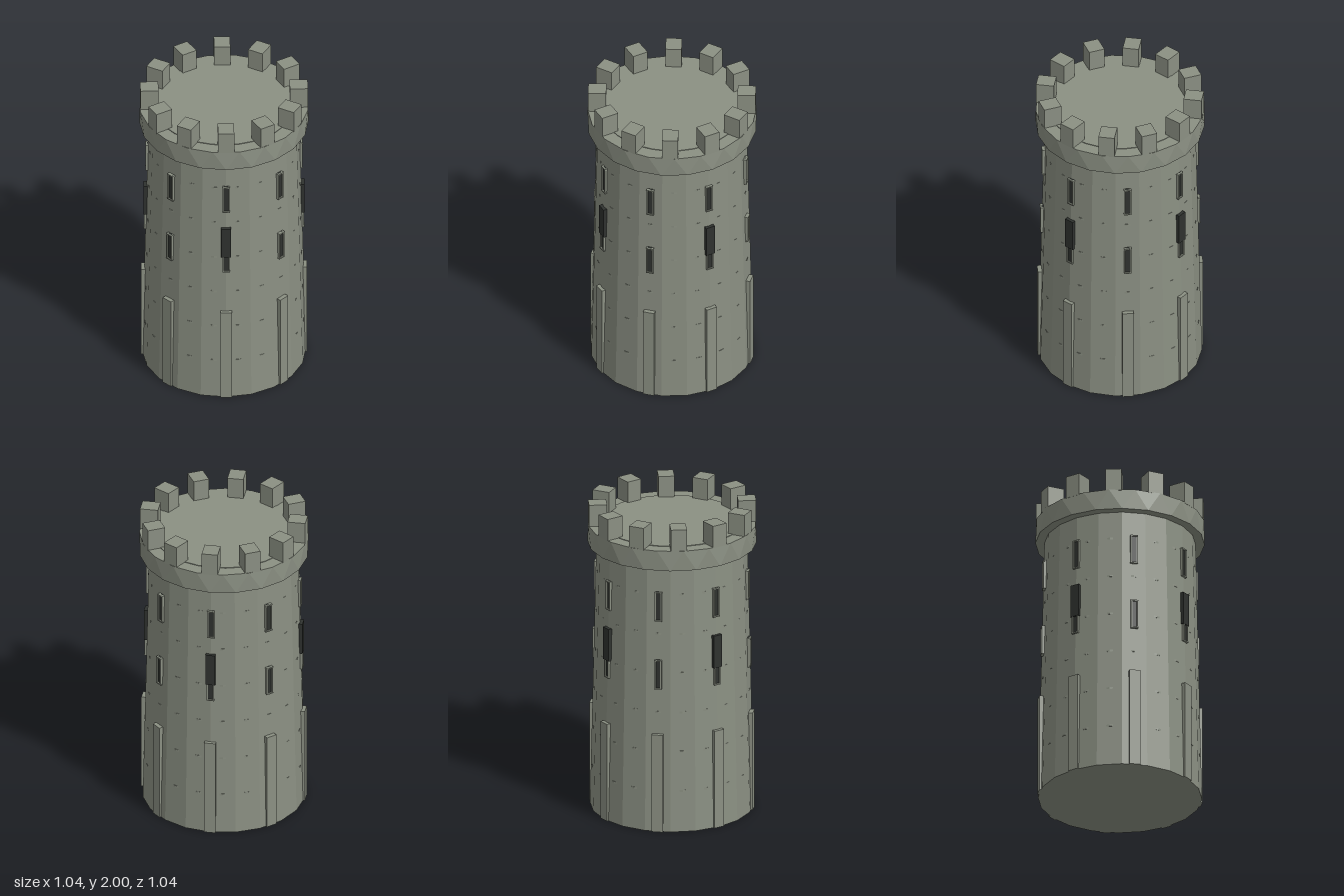
import * as THREE from 'three';

const stone = new THREE.MeshStandardMaterial({ color: 0x8b9083 });
stone.name = 'weathered stone';
const dark = new THREE.MeshStandardMaterial({ color: 0x2f322f });
dark.name = 'dark opening';

const SIDES = 20;
const HALF_STEP = Math.PI / SIDES;
const wallRadius = (y) => 0.506 - 0.023 * y; // the wall tapers upward

// Hard facets on every part
function faceted(geometry) {
  const g = geometry.index ? geometry.toNonIndexed() : geometry;
  g.computeVertexNormals();
  return g;
}

function add(parent, name, geometry, material = stone) {
  const mesh = new THREE.Mesh(faceted(geometry), material);
  mesh.name = name;
  parent.add(mesh);
  return mesh;
}

// Box on the +z side of its group: centre x, height range, radial range
function radialBox(parent, name, x, width, y0, y1, r0, r1, material) {
  const box = add(parent, name, new THREE.BoxGeometry(width, y1 - y0, r1 - r0), material);
  box.position.set(x, (y0 + y1) / 2, (r0 + r1) / 2);
}

// Calls build with a group turned to each of count even directions
function around(parent, name, count, build) {
  for (let i = 0; i < count; i++) {
    const group = new THREE.Group();
    group.name = name;
    group.rotation.y = (i / count) * Math.PI * 2;
    build(group);
    parent.add(group);
  }
}

// Narrow loophole with jambs, lintel and sill
function arrowSlit(group, y0) {
  const y1 = y0 + 0.19;
  const r = wallRadius(y0 + 0.095);
  radialBox(group, 'slitOpening', 0, 0.03, y0, y1, r - 0.02, r + 0.004, dark);
  for (const side of [-1, 1]) {
    radialBox(group, 'slitJamb', side * 0.018, 0.008, y0, y1, r - 0.03, r + 0.012);
  }
  radialBox(group, 'slitLintel', 0, 0.046, y1 - 0.008, y1, r - 0.03, r + 0.013);
  radialBox(group, 'slitSill', 0, 0.046, y0, y0 + 0.008, r - 0.03, r + 0.013);
}

export function createModel() {
  const tower = new THREE.Group();
  tower.name = 'tower';

  // Tapered wall
  const wall = add(tower, 'wall',
    new THREE.CylinderGeometry(wallRadius(1.75), wallRadius(0), 1.75, SIDES));
  wall.position.y = 0.875;

  // Thin stone courses, turned half a step so they surface only mid-facet
  for (let i = 1; i <= 6; i++) {
    const y = 0.01 + i * 0.257;
    const r = wallRadius(y) - 0.003;
    const course = add(tower, 'stoneCourse', new THREE.CylinderGeometry(r, r, 0.012, SIDES));
    course.position.y = y;
    course.rotation.y = HALF_STEP;
  }

  // Collar with triangular facets: its top ring is turned half a step
  const collarShape = new THREE.CylinderGeometry(0.522, 0.522, 0.13, SIDES);
  const p = collarShape.attributes.position;
  const v = new THREE.Vector3();
  const up = new THREE.Vector3(0, 1, 0);
  for (let i = 0; i < p.count; i++) {
    v.fromBufferAttribute(p, i);
    if (v.y > 0) v.applyAxisAngle(up, -HALF_STEP);
    p.setXYZ(i, v.x, v.y, v.z);
  }
  add(tower, 'collar', collarShape).position.y = 1.795;

  // Slightly raised roof deck
  const deck = add(tower, 'roofDeck', new THREE.CylinderGeometry(0.44, 0.44, 0.006, 32));
  deck.position.y = 1.861;

  // Battlements
  around(tower, 'battlement', 12, (g) =>
    radialBox(g, 'merlon', 0, 0.1, 1.855, 2, 0.405, 0.517));

  // Buttresses at the foot and two tiers of slits
  around(tower, 'wallBay', 8, (g) => {
    radialBox(g, 'buttress', 0, 0.07, 0, 0.64, 0.47, 0.512);
    arrowSlit(g, 0.935);
    arrowSlit(g, 1.38);
  });

  // Four larger windows with a thin sill line
  around(tower, 'windowBay', 4, (g) => {
    radialBox(g, 'window', 0, 0.06, 1.05, 1.262, 0.46, 0.496, dark);
  });

  return tower;
}
